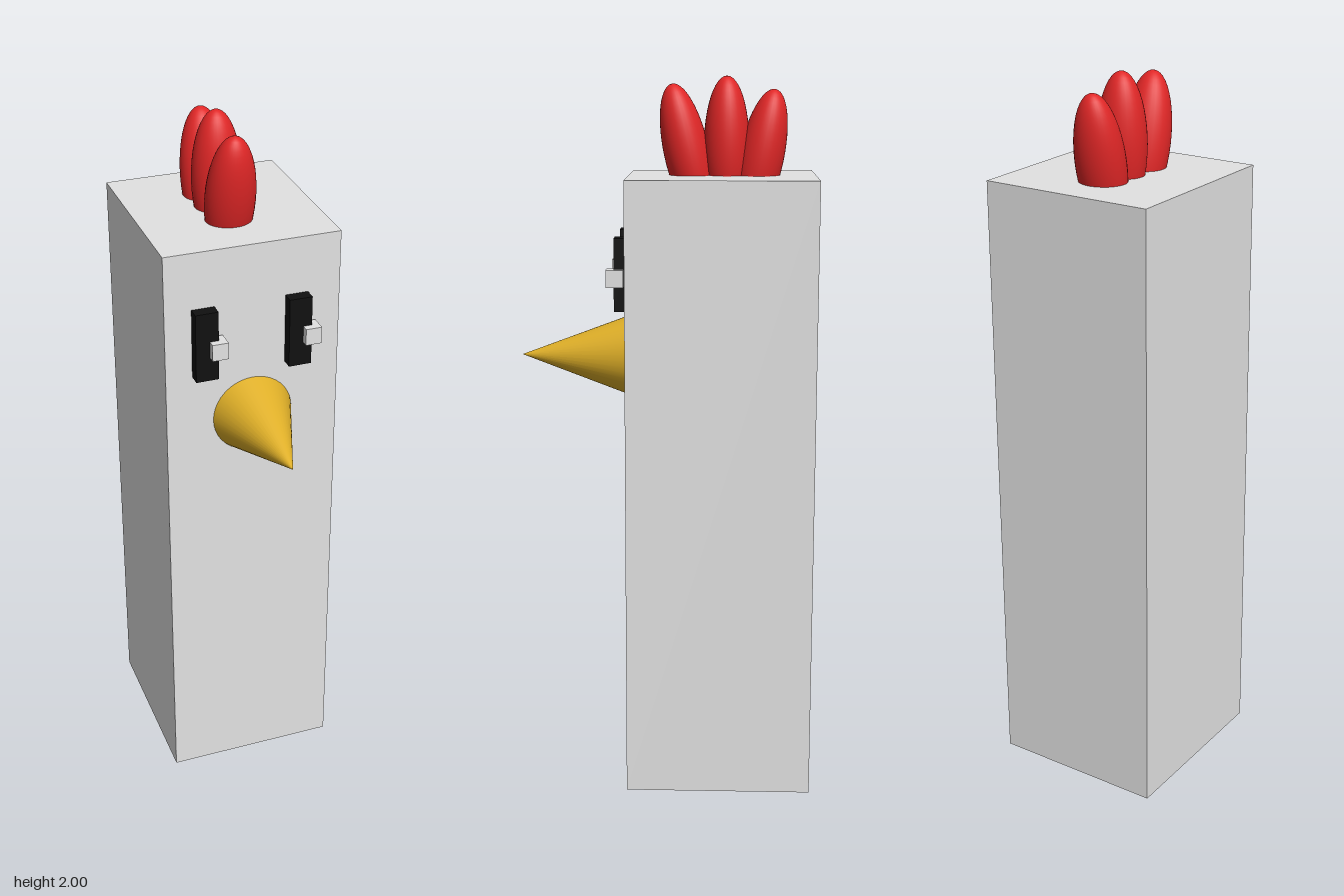
import * as THREE from 'three';

const paint = (name, color) => {
  const m = new THREE.MeshStandardMaterial({ color });
  m.name = name;
  return m;
};

export function createModel() {
  const group = new THREE.Group();
  const white = paint('pale grey', 0xe2e2e2);
  const black = paint('black', 0x101010);
  const yellow = paint('beak yellow', 0xe0b028);
  const red = paint('comb red', 0xe02626);

  const add = (name, geometry, material, x, y, z) => {
    const mesh = new THREE.Mesh(geometry, material);
    mesh.name = name;
    mesh.position.set(x, y, z);
    group.add(mesh);
    return mesh;
  };

  // tall square body
  add('body', new THREE.BoxGeometry(0.494, 1.73, 0.52), white, 0, 0.865, -0.155);

  // eyes, each with a small raised highlight on the same side
  for (const [side, x] of [['right', -0.14], ['left', 0.124]]) {
    add(side + 'Eye', new THREE.BoxGeometry(0.064, 0.2, 0.045), black, x, 1.468, 0.1165);
    add(side + 'EyeHighlight', new THREE.BoxGeometry(0.045, 0.048, 0.048), white, x + 0.03, 1.46, 0.136);
  }

  // cone beak pointing forward
  const beak = new THREE.ConeGeometry(0.114, 0.308, 40);
  beak.rotateX(Math.PI / 2);
  add('beak', beak, yellow, 0, 1.222, 0.258);

  // comb of three fanned egg shapes
  const lobe = new THREE.SphereGeometry(1, 32, 24);
  const lobes = [
    ['frontCombLobe', 1.793, -0.055, 0.22],
    ['middleCombLobe', 1.81, -0.166, 0],
    ['rearCombLobe', 1.778, -0.262, -0.2],
  ];
  for (const [name, y, z, tilt] of lobes) {
    const mesh = add(name, lobe, red, -0.007, y, z);
    mesh.scale.set(0.069, 0.19, 0.063);
    mesh.rotation.x = tilt;
  }

  return group;
}
